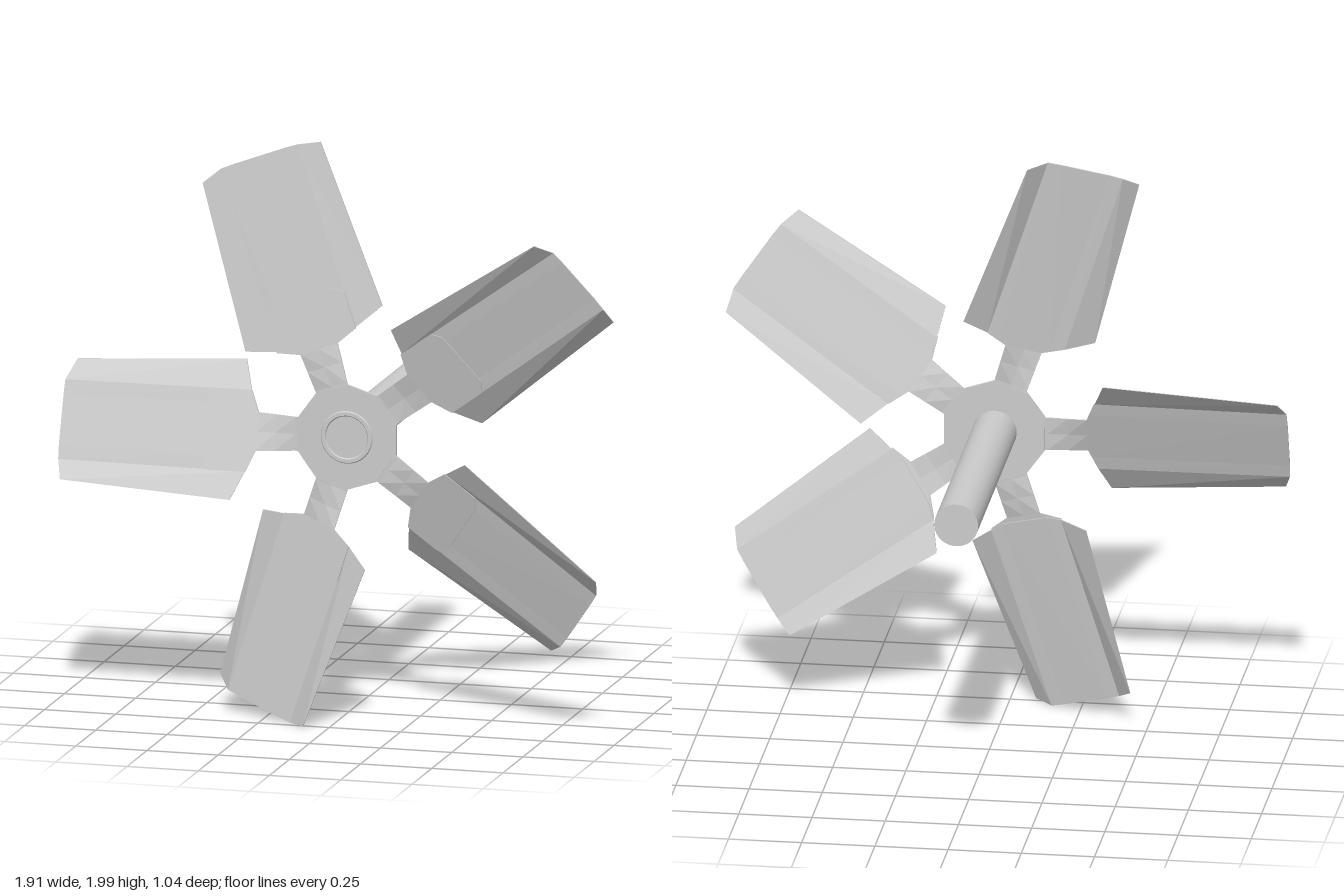
import * as THREE from 'three';

const material = new THREE.MeshStandardMaterial({ color: 0xcccccc, flatShading: true });
const smooth = new THREE.MeshStandardMaterial({ color: 0xcccccc });

// Thin sheet-metal solid: each row is a list of [r, t, z] points across the part
function sheet(rows, thickness) {
  const h = thickness / 2;
  const loops = rows.map(row => [
    ...row.map(([r, t, z]) => [r, t, z + h]),
    ...[...row].reverse().map(([r, t, z]) => [r, t, z - h]),
  ]);
  const pos = [];
  const quad = (a, b, c, d) => pos.push(...a, ...b, ...c, ...a, ...c, ...d);
  const n = loops[0].length;
  for (let i = 0; i < loops.length - 1; i++) {
    const a = loops[i], b = loops[i + 1];
    for (let k = 0; k < n; k++) {
      const m = (k + 1) % n;
      quad(a[k], b[k], b[m], a[m]);
    }
  }
  const first = loops[0], last = loops[loops.length - 1];
  for (let k = 0; k < n / 2 - 1; k++) {
    quad(first[k], first[k + 1], first[n - 2 - k], first[n - 1 - k]);
    quad(last[n - 1 - k], last[n - 2 - k], last[k + 1], last[k]);
  }
  const geometry = new THREE.BufferGeometry();
  geometry.setAttribute('position', new THREE.Float32BufferAttribute(pos, 3));
  geometry.computeVertexNormals();
  return geometry;
}

function add(parent, name, geometry, mat = material) {
  const mesh = new THREE.Mesh(geometry, mat);
  mesh.name = name;
  parent.add(mesh);
  return mesh;
}

// Pitched blade: flat middle with both long edges bent more steeply
function bladeGeometry() {
  const z = [0.297, 0.370, 0.385, 0.445, 0.460, 0.518];
  const root = { r: [0.385, 0.348, 0.332, 0.332, 0.348, 0.385], t: [0.22, 0.132, 0.085] };
  const tip = { r: [0.98, 1.002, 1.004, 1.004, 1.002, 0.98], t: [0.185, 0.128, 0.083] };
  const row = ({ r, t }) => z.map((zz, i) => [r[i], i < 3 ? -t[i] : t[5 - i], zz]);
  return sheet([row(root), row(tip)], 0.006);
}

// Arm: leaves the hub flat, twists to the blade pitch and widens into a mounting plate
function armGeometry() {
  const sections = [ // radius, half width, slope, z
    [0.14, 0.058, 0, 0.418], [0.18, 0.058, 0.03, 0.418], [0.25, 0.06, 0.2, 0.419],
    [0.315, 0.062, 0.35, 0.421], [0.345, 0.132, 0.35, 0.421],
    [0.475, 0.132, 0.35, 0.421], [0.5, 0.1, 0.35, 0.421],
  ];
  return sheet(sections.map(([r, w, s, z]) =>
    [-1, 0, 1].map(k => [r, k * w, z + s * k * w])), 0.006);
}

export function createModel() {
  const model = new THREE.Group();
  model.name = 'fan';
  const rotor = new THREE.Group();
  rotor.name = 'rotor';
  rotor.position.set(0.04, 1, 0);
  model.add(rotor);

  const blade = bladeGeometry(), arm = armGeometry();
  const hub = new THREE.Shape();
  for (let i = 0; i < 5; i++) {
    const angle = Math.PI * (0.2 + 0.4 * i);
    const group = new THREE.Group();
    group.name = 'bladeAssembly' + (i + 1);
    group.rotation.z = angle;
    rotor.add(group);
    add(group, 'blade', blade);
    add(group, 'arm', arm);
    // Two hub corners flank each arm
    for (const side of [-1, 1]) {
      const a = angle + side * 0.34;
      const x = 0.181 * Math.cos(a), y = 0.181 * Math.sin(a);
      if (i === 0 && side < 0) hub.moveTo(x, y); else hub.lineTo(x, y);
    }
  }
  hub.closePath();

  // Hub plate
  add(rotor, 'hubPlate', new THREE.ExtrudeGeometry(hub, { depth: 0.01, bevelEnabled: false }))
    .position.z = 0.413;

  // Raised collar around the shaft end
  const collar = [[0.092, 0], [0.088, 0.006], [0.076, 0.006], [0.072, 0]]
    .map(([r, y]) => new THREE.Vector2(r, y));
  const ring = add(rotor, 'shaftCollar', new THREE.LatheGeometry(collar, 32), material);
  ring.rotation.x = Math.PI / 2;
  ring.position.z = 0.422;

  // Drive shaft running backwards
  const shaft = add(rotor, 'shaft', new THREE.CylinderGeometry(0.075, 0.075, 0.94, 40), smooth);
  shaft.rotation.x = Math.PI / 2;
  shaft.position.z = -0.052;
  return model;
}
